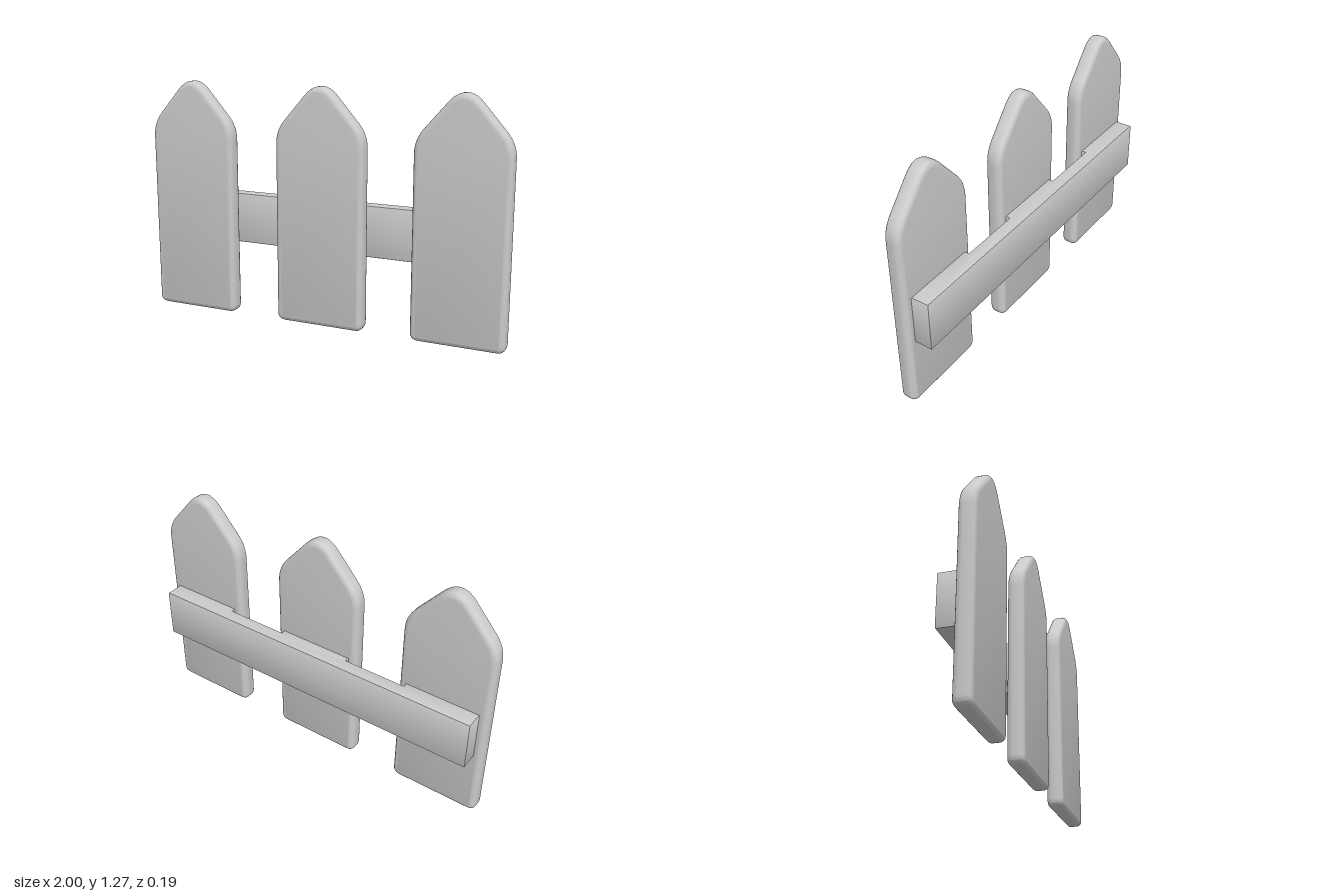
import * as THREE from 'three';
import { toCreasedNormals } from 'three/addons/utils/BufferGeometryUtils.js';

const material = new THREE.MeshStandardMaterial({ color: 0xcccccc });

// Extrudes a shape to a total depth with an edge bevel kept inside the outline
function bevelled(shape, depth, bevel, segments, crease) {
  const geometry = new THREE.ExtrudeGeometry(shape, {
    depth: depth - 2 * bevel,
    bevelThickness: bevel,
    bevelSize: bevel,
    bevelOffset: -bevel,
    bevelSegments: segments,
    curveSegments: 10,
  });
  geometry.translate(0, 0, bevel);
  return toCreasedNormals(geometry, crease);
}

// Pointed board with rounded bottom corners, shoulders and tip
function picketGeometry() {
  const w = 0.247, r = 0.045;
  const s = new THREE.Shape();
  s.moveTo(-w + r, 0);
  s.lineTo(w - r, 0);
  s.quadraticCurveTo(w, 0, w, r);
  s.lineTo(w, 0.965);
  s.quadraticCurveTo(w, 1.035, 0.2, 1.09);
  s.lineTo(0.08, 1.228);
  s.quadraticCurveTo(0, 1.314, -0.08, 1.228);
  s.lineTo(-0.2, 1.09);
  s.quadraticCurveTo(-w, 1.035, -w, 0.965);
  s.lineTo(-w, r);
  s.quadraticCurveTo(-w, 0, -w + r, 0);
  return bevelled(s, 0.088, 0.028, 5, 0.7);
}

// Rail plan: pads behind the pickets, recessed in the gaps between them
function railGeometry() {
  const end = 0.955, back = 0.093, pad = -0.004, recess = 0.02;
  const s = new THREE.Shape();
  s.moveTo(-end, pad);
  for (const [a, b] of [[-0.55, -0.205], [0.205, 0.55]]) {
    s.lineTo(a, pad);
    s.lineTo(a, recess);
    s.lineTo(b, recess);
    s.lineTo(b, pad);
  }
  s.lineTo(end, pad);
  s.lineTo(end, back);
  s.lineTo(-end, back);
  s.closePath();
  return bevelled(s, 0.276, 0.006, 2, 0.7).rotateX(-Math.PI / 2);
}

export function createModel() {
  const fence = new THREE.Group();
  fence.name = 'picketFence';

  // Three upright boards
  const board = picketGeometry();
  ['rightPicket', 'middlePicket', 'leftPicket'].forEach((name, i) => {
    const picket = new THREE.Mesh(board, material);
    picket.name = name;
    picket.position.set((i - 1) * 0.753, 0, 0.005);
    fence.add(picket);
  });

  // Horizontal rail across the back
  const rail = new THREE.Mesh(railGeometry(), material);
  rail.name = 'rail';
  rail.position.y = 0.382;
  fence.add(rail);

  return fence;
}
